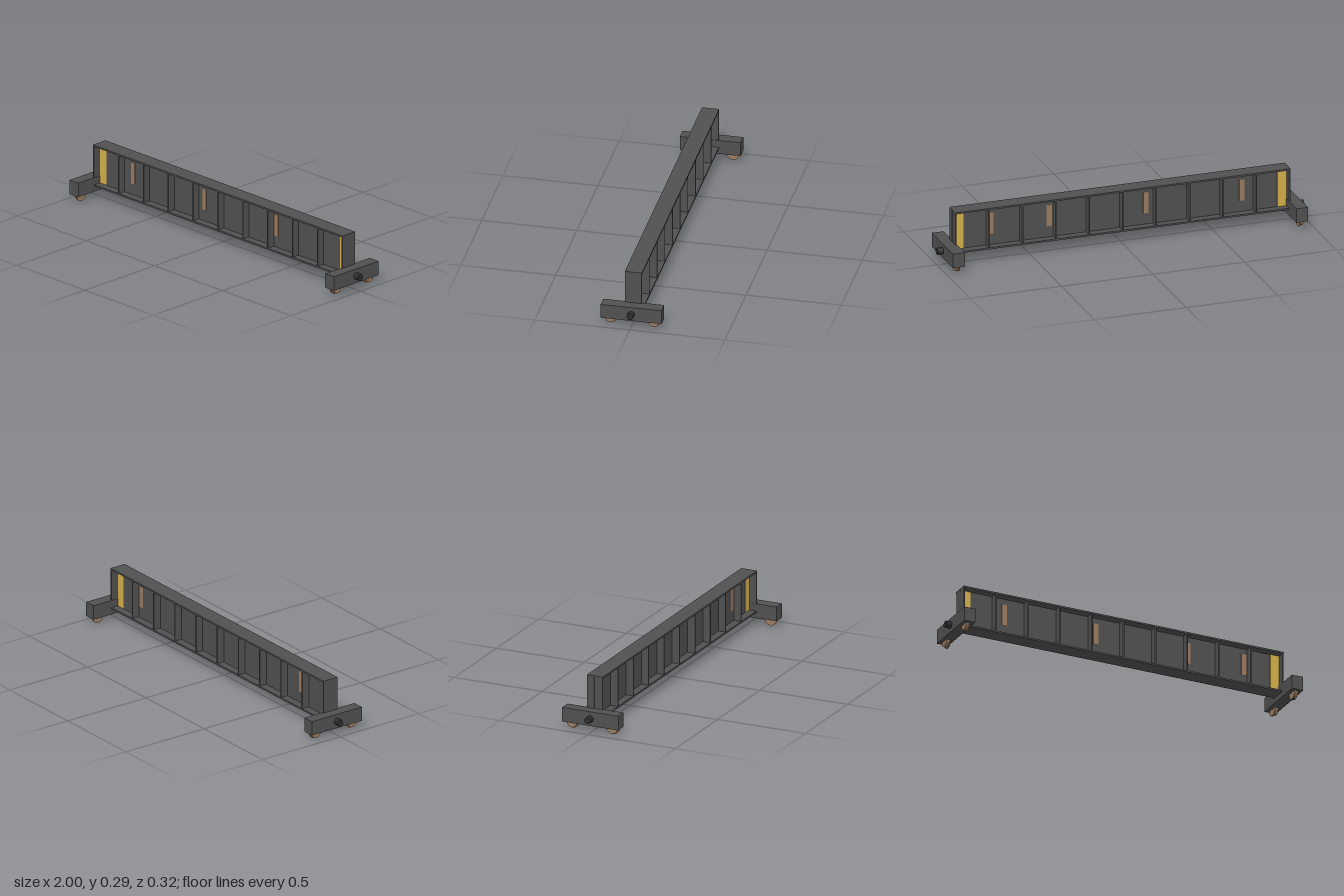
import * as THREE from 'three';

const paint = (color) => new THREE.MeshStandardMaterial({ color });

export function createModel() {
  const model = new THREE.Group();
  model.name = 'craneBridge';

  const steel = paint(0x505050);
  const dark = paint(0x2e2e2e);
  const yellow = paint(0xd4af4a);
  const rust = paint(0x9b7b60);

  const add = (name, geometry, material, x, y, z, parent = model) => {
    const mesh = new THREE.Mesh(geometry, material);
    mesh.name = name;
    mesh.position.set(x, y, z);
    parent.add(mesh);
    return mesh;
  };
  const box = (name, size, material, x, y, z, parent) =>
    add(name, new THREE.BoxGeometry(...size), material, x, y, z, parent);
  // Cylinder lying along x
  const disc = (name, radius, width, material, x, y, z, parent) =>
    add(name, new THREE.CylinderGeometry(radius, radius, width, 24).rotateZ(Math.PI / 2), material, x, y, z, parent);

  // I-beam girder: two flanges and a thin web
  const girder = new THREE.Group();
  girder.name = 'girder';
  model.add(girder);
  const webHeight = 0.208;
  const webY = 0.179;
  box('topFlange', [1.83, 0.009, 0.09], steel, 0, 0.2875, 0, girder);
  box('bottomFlange', [1.83, 0.009, 0.09], steel, 0, 0.0705, 0, girder);
  box('web', [1.828, webHeight, 0.006], steel, 0, webY, 0, girder);

  for (const side of [-1, 1]) {
    // Vertical stiffeners, evenly spaced along both faces of the web
    for (let i = -5; i <= 5; i++) {
      box('stiffener', [0.007, webHeight, 0.041], steel, i * 0.1822, webY, side * 0.0235, girder);
    }
    // Warning panels at the ends
    for (const end of [-1, 1]) {
      box('warningPanel', [0.05, webHeight, 0.003], yellow, end * 0.882, webY, side * 0.0036, girder);
    }
    // Rust patches
    for (const x of [-0.664, -0.14, 0.387, 0.706]) {
      box('rustPatch', [0.029, 0.117, 0.002], rust, x, 0.193, side * 0.0036, girder);
    }
  }

  // End trucks with buffers and flanged wheels
  for (const end of [-1, 1]) {
    const truck = new THREE.Group();
    truck.name = 'endTruck';
    model.add(truck);
    box('truckBeam', [0.064, 0.077, 0.32], steel, end * 0.937, 0.0755, 0, truck);
    disc('buffer', 0.018, 0.032, dark, end * 0.984, 0.075, 0, truck);
    for (const side of [-1, 1]) {
      disc('wheelTread', 0.028, 0.022, rust, end * 0.938, 0.034, side * 0.115, truck);
      disc('wheelFlange', 0.034, 0.006, rust, end * 0.93, 0.034, side * 0.115, truck);
    }
  }
  return model;
}
